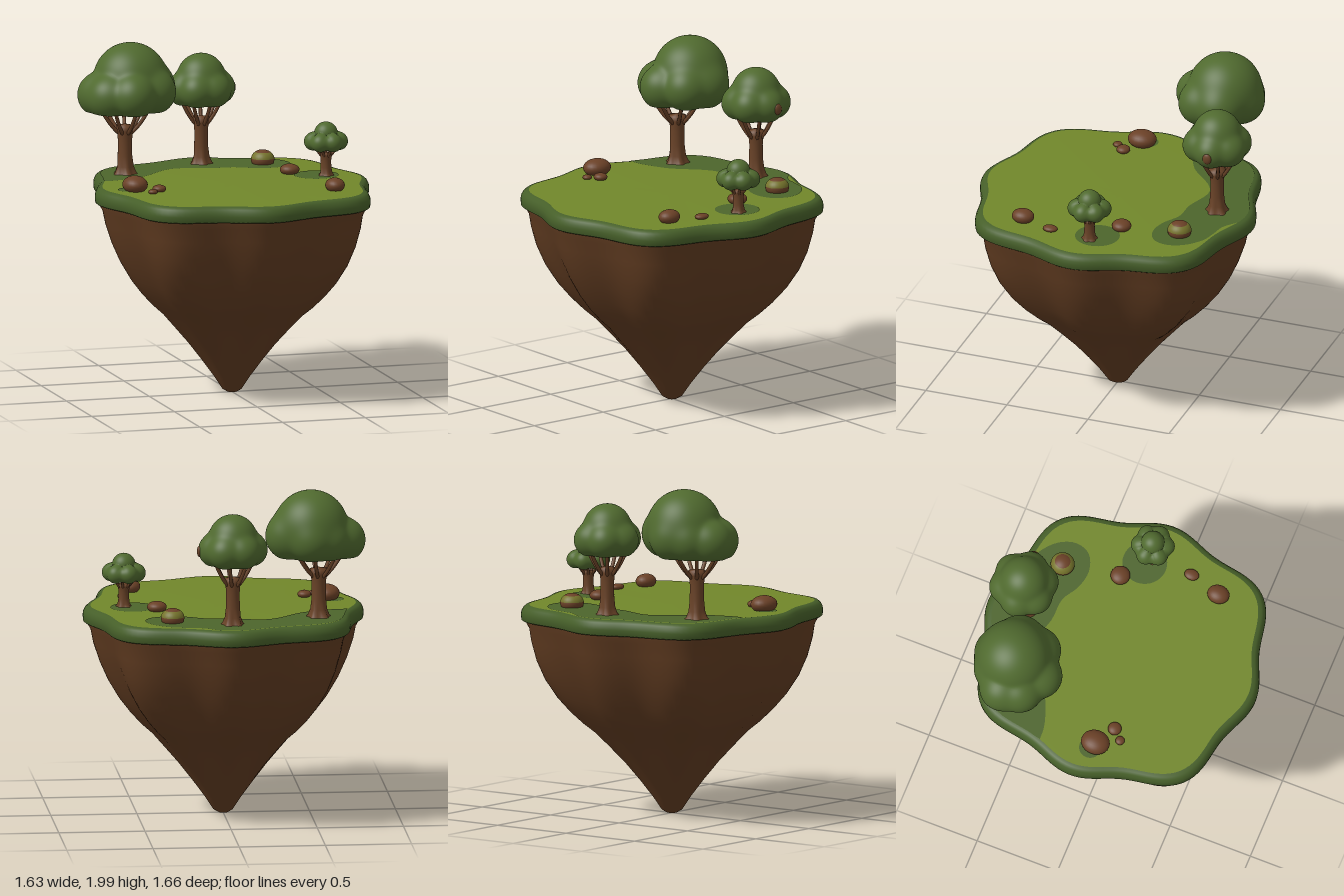
import * as THREE from 'three';
import { mergeVertices } from 'three/addons/utils/BufferGeometryUtils.js';

const material = (name, color) => new THREE.MeshStandardMaterial({ name, color });
const M = {
  rock: material('rock brown', 0x613c21),
  bark: material('bark brown', 0x694227),
  stone: material('stone brown', 0x6b4127),
  turf: material('light grass', 0x71872a),
  shade: material('dark grass', 0x4d652c),
  rim: material('rim green', 0x465f29),
  leaf: material('leaf green', 0x506a2f),
  moss: material('moss olive', 0x76742c),
};

function add(parent, name, geometry, mat, x = 0, y = 0, z = 0) {
  const mesh = new THREE.Mesh(geometry, mat);
  mesh.name = name;
  mesh.position.set(x, y, z);
  parent.add(mesh);
  return mesh;
}

// Weld a geometry, move its vertices by a rule and smooth it
function warp(geometry, rule) {
  geometry.deleteAttribute('uv');
  geometry.deleteAttribute('normal');
  const g = mergeVertices(geometry, 1e-5);
  const p = g.attributes.position, v = new THREE.Vector3();
  for (let i = 0; i < p.count; i++) {
    rule(v.fromBufferAttribute(p, i));
    p.setXYZ(i, v.x, v.y, v.z);
  }
  g.computeVertexNormals();
  return g;
}

const lathe = (points, segments) =>
  new THREE.LatheGeometry(points.map(([r, y]) => new THREE.Vector2(r, y)), segments);

// Eight-lobed island outline, angle measured from +z towards +x
const outline = (a) => 0.812 + 0.03 * Math.cos(8 * a) - 0.028 * Math.cos(4 * a);
const Z = 1.022;

function lobed(points, strength = () => 1) {
  return warp(lathe(points, 160), (v) => {
    const s = THREE.MathUtils.lerp(0.812, outline(Math.atan2(v.x, v.z)), strength(v.y));
    v.x *= s;
    v.z *= s * Z;
  });
}

// Flat ground patch from x, z points
function patch(parent, name, points, y) {
  const shape = new THREE.Shape(points.map(([x, z]) => new THREE.Vector2(x, -z)));
  add(parent, name, new THREE.ShapeGeometry(shape).rotateX(-Math.PI / 2), M.shade, 0, y, 0);
}

function smoothLine(points, n) {
  const curve = new THREE.SplineCurve(points.map(([x, z]) => new THREE.Vector2(x, z)));
  return curve.getPoints(n).map((p) => [p.x, p.y]);
}

// Soft union of spheres [x, y, z, r], pushed out radially and flattened underneath
function crown(spheres, base) {
  const k = 65;
  return warp(new THREE.IcosahedronGeometry(1, 22), (v) => {
    let sum = 0;
    for (const [x, y, z, r] of spheres) {
      const b = v.x * x + v.y * y + v.z * z;
      const q = b * b - (x * x + y * y + z * z) + r * r;
      if (q > 0) sum += Math.exp(k * (b + Math.sqrt(q)));
    }
    v.multiplyScalar(Math.log(sum) / k);
    if (v.y < base) v.y = base + (v.y - base) * 0.15;
  });
}

// Trunk with flared roots, spreading branches and a leafy crown
function tree(parent, name, [x, z], { height, radius, reach, top, crownAt, spheres, base }) {
  const g = new THREE.Group();
  g.name = name;
  g.position.set(x, 1.23, z);
  const trunk = lathe([[1.75, 0], [1.4, 0.06], [1.12, 0.18], [1, 0.4], [0.97, 0.7], [1.1, 0.9], [1.2, 1], [0, 1.04]], 30);
  add(g, 'trunk', warp(trunk, (v) => {
    const flare = 1 + 0.14 * Math.cos(5 * Math.atan2(v.x, v.z)) * Math.max(0, 1 - v.y * 2.5);
    v.set(v.x * radius * flare, v.y * height, v.z * radius * flare);
  }), M.bark);
  for (let i = 0; i < 7; i++) {
    const a = (i / 7) * Math.PI * 2 + 0.2;
    const at = (r, y) => new THREE.Vector3(Math.sin(a) * r, y, Math.cos(a) * r);
    const path = new THREE.QuadraticBezierCurve3(at(radius * 0.6, height * 0.82),
      at(reach * 0.65, height * 1.02), at(reach, top));
    add(g, 'branch', new THREE.TubeGeometry(path, 8, radius * 0.27, 7), M.bark);
  }
  add(g, 'crown', crown(spheres, base), M.leaf, ...crownAt);
  parent.add(g);
}

// Central dome with a ring of equal lobes
function ringOfLobes(count, dome, ring, y, r, turn) {
  const list = [dome];
  for (let i = 0; i < count; i++) {
    const a = turn + (i / count) * Math.PI * 2;
    list.push([Math.sin(a) * ring, y, Math.cos(a) * ring, r]);
  }
  return list;
}

export function createModel() {
  const model = new THREE.Group();
  model.name = 'floatingIsland';

  // Fluted rock body
  add(model, 'rockBody', lobed([
    [0, 0.005], [0.035, 0.008], [0.07, 0.025], [0.13, 0.1], [0.22, 0.2], [0.32, 0.305], [0.42, 0.4],
    [0.505, 0.48], [0.58, 0.535], [0.66, 0.605], [0.74, 0.69], [0.82, 0.8], [0.88, 0.91],
    [0.925, 1.02], [0.945, 1.1], [0.965, 1.13], [0.965, 1.16],
  ], (y) => 0.35 + 1.05 * THREE.MathUtils.smoothstep(y, 0.1, 0.75) - 0.4 * THREE.MathUtils.smoothstep(y, 0.8, 1.13)), M.rock);

  // Grass rim and top
  add(model, 'grassRim', lobed([
    [0.88, 1.15], [0.985, 1.143], [0.997, 1.15], [1, 1.18], [0.997, 1.2], [0.985, 1.22], [0.968, 1.232], [0.945, 1.236],
  ]), M.rim);
  add(model, 'grassTop', lobed([[0.945, 1.236], [0.7, 1.237], [0, 1.237]]), M.turf);

  // Dark grass under the trees
  const back = smoothLine([[-0.7, -0.23], [-0.6, -0.24], [-0.43, -0.31], [-0.28, -0.45], [-0.17, -0.49],
    [0, -0.44], [0.14, -0.43], [0.25, -0.37], [0.36, -0.35], [0.46, -0.39], [0.495, -0.48],
    [0.46, -0.58], [0.37, -0.66], [0.27, -0.69], [0.18, -0.71], [0.1, -0.77]], 60);
  for (let d = 174; d <= 250; d += 4) {
    const a = THREE.MathUtils.degToRad(d), r = outline(a) * 0.95;
    back.push([Math.sin(a) * r, Math.cos(a) * r * Z]);
  }
  patch(model, 'backShade', back, 1.239);
  for (const [name, x, z, r] of [['smallTreeShade', 0.53, -0.07, 0.13], ['boulderShade', -0.64, 0.06, 0.065]]) {
    add(model, name, new THREE.CircleGeometry(r, 32).rotateX(-Math.PI / 2), M.shade, x, 1.239, z);
  }

  // Trees
  tree(model, 'largeTree', [-0.515, -0.43], {
    height: 0.29, radius: 0.042, reach: 0.145, top: 0.4, crownAt: [0.045, 0.5, -0.045], base: -0.125,
    spheres: [[0.005, 0.05, -0.01, 0.215], [-0.18, -0.03, -0.01, 0.13], [-0.15, -0.03, 0.09, 0.13],
      [-0.03, -0.02, 0.165, 0.13], [0.11, -0.01, 0.1, 0.13], [0.13, 0, -0.02, 0.14], [0.01, -0.01, -0.12, 0.125],
      [-0.09, -0.02, -0.09, 0.12]],
  });
  tree(model, 'mediumTree', [0, -0.61], {
    height: 0.28, radius: 0.04, reach: 0.12, top: 0.39, crownAt: [0, 0.46, 0], base: -0.1,
    spheres: ringOfLobes(6, [0, 0.055, 0, 0.14], 0.103, -0.012, 0.098, Math.PI / 6),
  });
  tree(model, 'smallTree', [0.58, -0.04], {
    height: 0.14, radius: 0.031, reach: 0.07, top: 0.19, crownAt: [0, 0.22, 0], base: -0.062,
    spheres: ringOfLobes(6, [0, 0.035, 0, 0.068], 0.075, -0.012, 0.052, 0.3),
  });
  add(model, 'branchKnot', new THREE.SphereGeometry(0.03, 16, 12).scale(0.5, 1.1, 0.9), M.bark, 0.195, 1.675, -0.62);

  // Loose stones: x, z, half width, half depth, height above ground
  for (const [x, z, w, d, h] of [
    [-0.61, 0.08, 0.073, 0.085, 0.085], [-0.485, 0.15, 0.04, 0.04, 0.038], [-0.54, 0.205, 0.027, 0.027, 0.025],
    [0.4, -0.17, 0.057, 0.057, 0.055], [0.56, 0.21, 0.034, 0.044, 0.03], [0.5, 0.4, 0.056, 0.066, 0.07],
  ]) {
    const t = h * 0.6;
    add(model, 'stone', new THREE.SphereGeometry(1, 24, 16).scale(w, t, d), M.stone, x, 1.237 + h - t, z);
  }

  // Mossy stone: bare crown, moss band, bare foot
  [[0, 0.7, M.stone], [0.7, 0.75, M.moss], [1.45, 1.69, M.stone]].forEach(([start, length, mat]) => {
    add(model, 'mossyStone', new THREE.SphereGeometry(1, 28, 10, 0, Math.PI * 2, start, length).scale(0.068, 0.056, 0.07),
      mat, 0.34, 1.262, -0.505);
  });
  return model;
}
